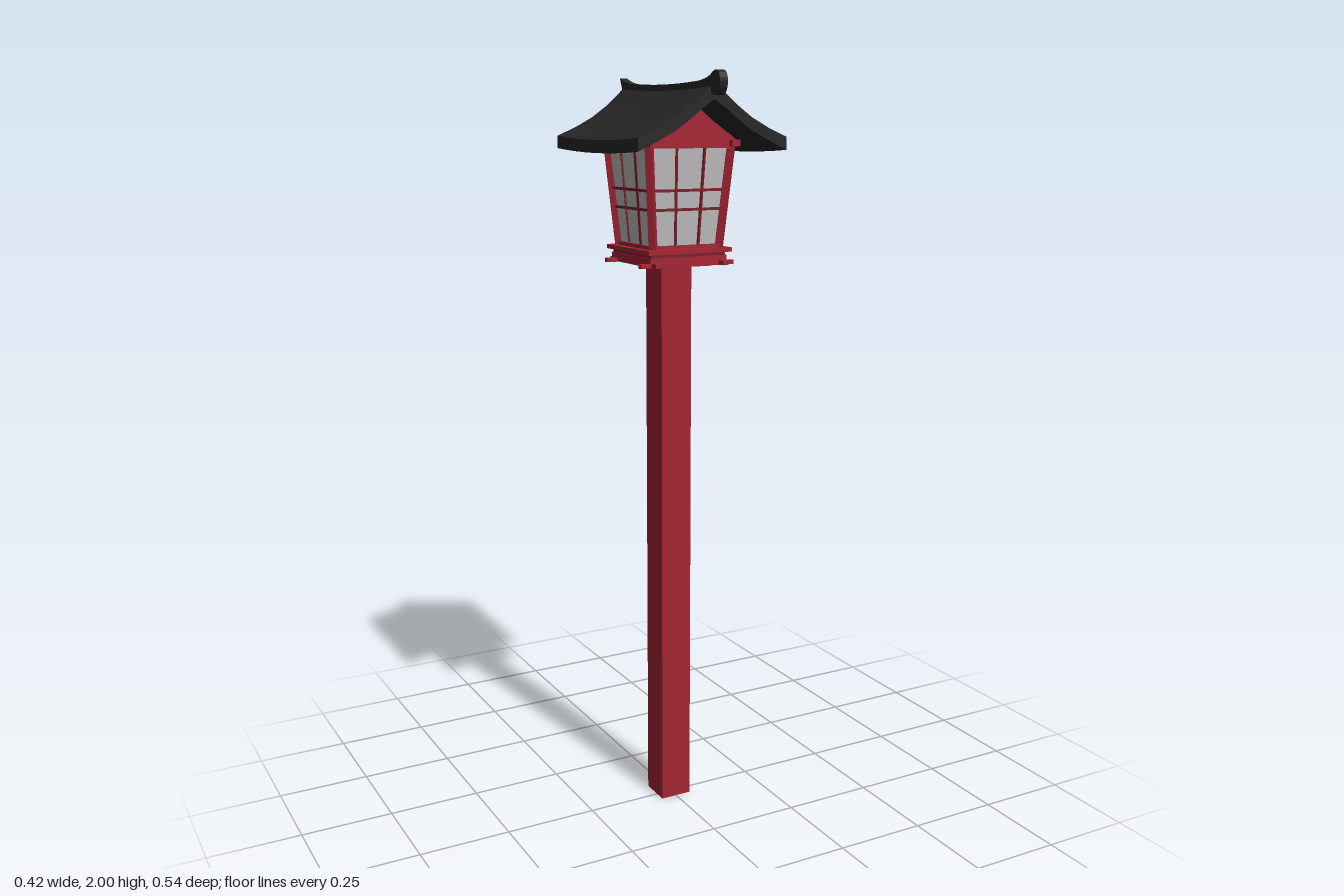
import * as THREE from 'three';

const mat = (name, color, extra = {}) => {
  const m = new THREE.MeshStandardMaterial({ color, ...extra });
  m.name = name;
  return m;
};

export function createModel() {
  const red = mat('red paint', 0xa42433);
  const darkRed = mat('dark red lattice', 0x7a1c27);
  const paper = mat('paper', 0xbfbcbc, { flatShading: true });
  const black = mat('black roof', 0x262626, { flatShading: true });

  const model = new THREE.Group();
  model.name = 'lanternPost';
  const body = new THREE.Group();
  body.name = 'lantern';
  body.position.z = -0.012;
  model.add(body);

  const add = (name, geo, material, parent = body) => {
    const mesh = new THREE.Mesh(geo, material);
    mesh.name = name;
    parent.add(mesh);
    return mesh;
  };
  const box = (name, w, h, d, x, y, z, material = red) => {
    const m = add(name, new THREE.BoxGeometry(w, h, d), material);
    m.position.set(x, y, z);
    return m;
  };
  // square bar between two points
  const bar = (name, a, b, size, material, parent) => {
    const m = add(name, new THREE.BoxGeometry(size, size, a.distanceTo(b)), material, parent);
    m.position.copy(a).lerp(b, 0.5);
    m.lookAt(b);
    return m;
  };

  // post
  box('post', 0.088, 1.513, 0.088, 0, 0.7565, 0);

  // stepped platform and crossing beams, at the foot and the head of the lantern
  box('lowerStep', 0.17, 0.014, 0.17, 0, 1.519, 0);
  box('middleStep', 0.222, 0.014, 0.222, 0, 1.534, 0);
  box('upperStep', 0.216, 0.012, 0.216, 0, 1.545, 0, darkRed);
  box('sill', 0.242, 0.011, 0.242, 0, 1.555, 0);
  for (const s of [-1, 1]) {
    box('footBeamAcross', 0.27, 0.011, 0.016, 0, 1.521, s * 0.098);
    box('footBeamAlong', 0.016, 0.011, 0.262, s * 0.098, 1.522, 0);
    box('headBeamAcross', 0.28, 0.016, 0.018, 0, 1.824, s * 0.117);
    box('headBeamAlong', 0.018, 0.016, 0.28, s * 0.117, 1.823, 0);
  }

  // tapered paper box
  const y0 = 1.56, y1 = 1.825, r0 = 0.096, r1 = 0.118;
  const half = (y) => r0 + ((r1 - r0) * (y - y0)) / (y1 - y0);
  const paperBox = add('paperPanels',
    new THREE.CylinderGeometry(r1 * Math.SQRT2, r0 * Math.SQRT2, y1 - y0, 4, 1), paper);
  paperBox.geometry.rotateY(Math.PI / 4);
  paperBox.position.y = (y0 + y1) / 2;

  // frame and lattice, one side turned four times
  for (let i = 0; i < 4; i++) {
    const side = new THREE.Group();
    side.name = 'latticeSide';
    const at = (u, y) => new THREE.Vector3(u * half(y), y, half(y));
    bar('cornerPost', at(1, y0), at(1, y1), 0.018, red, side);
    bar('bottomRail', at(-1, y0 + 0.004), at(1, y0 + 0.004), 0.012, red, side);
    bar('topRail', at(-1, y1 - 0.006), at(1, y1 - 0.006), 0.014, red, side);
    for (const u of [-0.34, 0.34]) bar('uprightSlat', at(u, y0), at(u, y1), 0.007, darkRed, side);
    for (const y of [1.66, 1.708]) bar('crossSlat', at(-1, y), at(1, y), 0.007, darkRed, side);
    side.rotation.y = (i * Math.PI) / 2;
    body.add(side);
  }

  // gable block under the roof
  const gable = new THREE.Shape([[-0.135, 1.83], [0.135, 1.83], [0.07, 1.88], [0, 1.93], [-0.07, 1.88]]
    .map(([x, y]) => new THREE.Vector2(x, y)));
  add('gable', new THREE.ExtrudeGeometry(gable, { depth: 0.236, bevelEnabled: false })
    .translate(0, 0, -0.118), red);

  // curved roof: mirrored profile, swept along z and lifted at both ends
  const top = [[0, 1.962], [0.03, 1.937], [0.065, 1.908], [0.105, 1.88], [0.155, 1.854], [0.208, 1.832]];
  const under = [[0.208, 1.8], [0.155, 1.824], [0.105, 1.849], [0.065, 1.876], [0.03, 1.903], [0, 1.922]];
  const right = [...top, ...under];
  const left = right.slice(1, -1).reverse().map(([x, y]) => [-x, y]);
  const roofShape = new THREE.Shape([...right, ...left].map(([x, y]) => new THREE.Vector2(x, y)));
  const roofGeo = new THREE.ExtrudeGeometry(roofShape, { depth: 0.472, steps: 8, bevelEnabled: false });
  roofGeo.translate(0, 0, -0.236);
  const p = roofGeo.attributes.position;
  for (let i = 0; i < p.count; i++) {
    const t = p.getZ(i) / 0.236;
    p.setY(i, p.getY(i) + 0.008 * t * t);
    // the back edge swells a little at the ridge
    if (t < -0.99) p.setZ(i, p.getZ(i) - 0.008 * Math.max(0, 1 - Math.abs(p.getX(i)) / 0.045));
  }
  roofGeo.computeVertexNormals();
  add('roof', roofGeo, black);

  // ridge with a rounded curl in front and an upturned tip behind
  const ridge = new THREE.Shape();
  ridge.moveTo(-0.27, 1.99);
  ridge.quadraticCurveTo(-0.23, 1.972, -0.17, 1.972);
  ridge.quadraticCurveTo(0, 1.964, 0.16, 1.974);
  ridge.quadraticCurveTo(0.21, 1.978, 0.232, 1.994);
  ridge.bezierCurveTo(0.25, 2.004, 0.267, 1.994, 0.267, 1.972);
  ridge.bezierCurveTo(0.267, 1.945, 0.25, 1.936, 0.236, 1.94);
  ridge.lineTo(0.222, 1.945);
  ridge.quadraticCurveTo(0, 1.925, -0.247, 1.94);
  ridge.closePath();
  add('ridge', new THREE.ExtrudeGeometry(ridge, { depth: 0.022, bevelEnabled: false, curveSegments: 8 })
    .translate(0, 0, -0.011).rotateY(-Math.PI / 2), black, model);

  return model;
}
